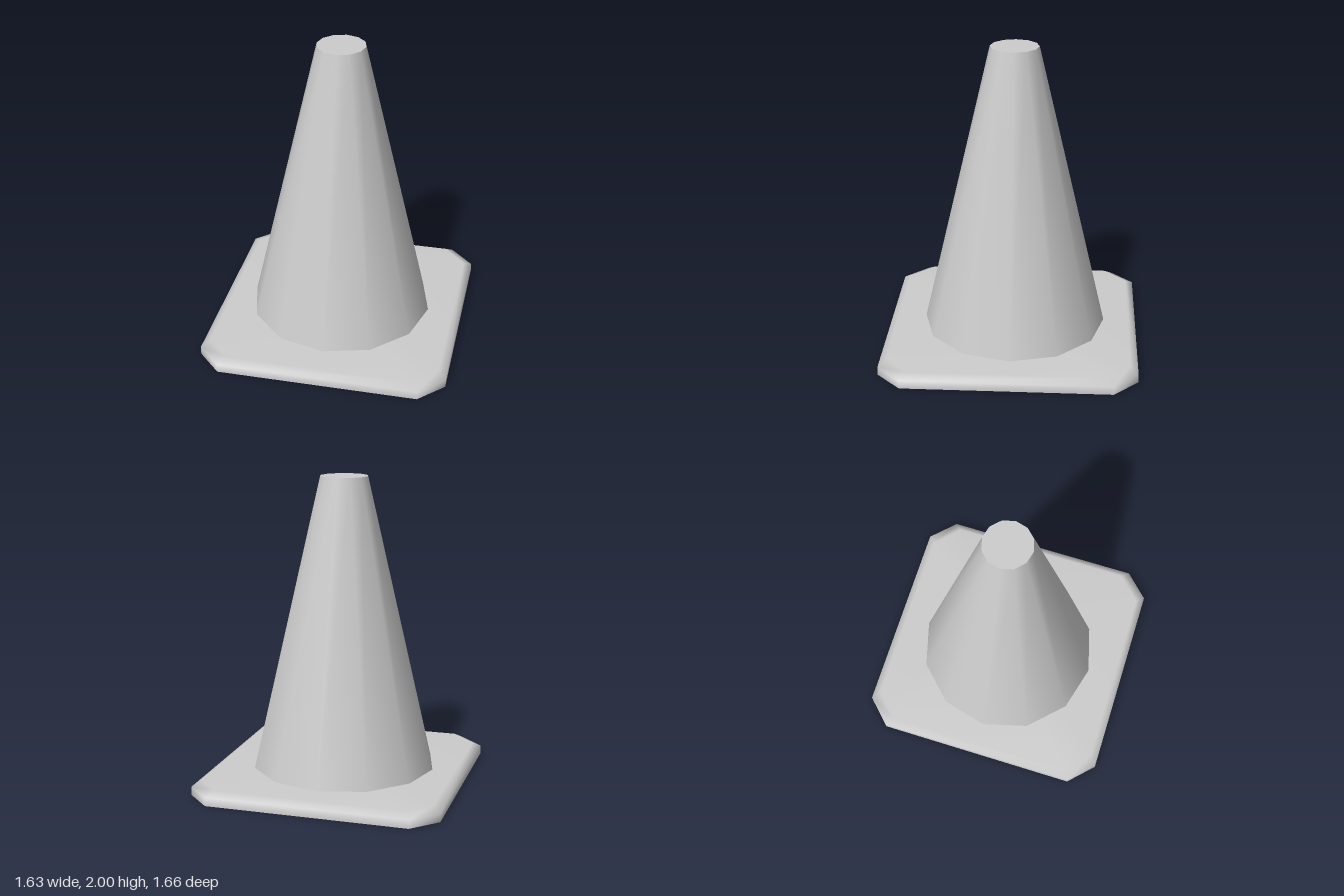
import * as THREE from 'three';

const HALF_X = 0.813, HALF_Z = 0.832, CUT = 0.158;

// Octagonal outline of the base, anticlockwise seen from above, pulled in by an inset
function outline(inset) {
  const x = HALF_X - inset, z = HALF_Z - inset;
  const quarter = [[x, z - CUT], [x, -z + CUT], [x - CUT, -z], [-x + CUT, -z]];
  return [...quarter, ...quarter.map(([a, b]) => [-a, -b])];
}

// Stacked outlines, smooth over the bevelled rim, with a separate flat underside
function baseGeometry() {
  const positions = [], indices = [];
  const addRing = (inset, y) => {
    const start = positions.length / 3;
    outline(inset).forEach(([x, z]) => positions.push(x, y, z));
    return start;
  };
  const rings = [addRing(0, 0), addRing(0, 0.055), addRing(0.05, 0.09)];
  const under = addRing(0, 0);
  const topCentre = positions.length / 3;
  positions.push(0, 0.09, 0, 0, 0, 0);
  for (let i = 0; i < 8; i++) {
    const j = (i + 1) % 8;
    for (let r = 0; r < 2; r++) {
      const a = rings[r], b = rings[r + 1];
      indices.push(a + i, a + j, b + j, a + i, b + j, b + i);
    }
    indices.push(topCentre, rings[2] + i, rings[2] + j);
    indices.push(topCentre + 1, under + j, under + i);
  }
  const geometry = new THREE.BufferGeometry();
  geometry.setAttribute('position', new THREE.Float32BufferAttribute(positions, 3));
  geometry.setIndex(indices);
  geometry.computeVertexNormals();
  return geometry;
}

export function createModel() {
  const grey = new THREE.MeshStandardMaterial({ color: 0xcccccc });
  grey.name = 'light grey';
  const group = new THREE.Group();
  group.name = 'trafficCone';

  // Bevelled base plate
  const base = new THREE.Mesh(baseGeometry(), grey);
  base.name = 'base';

  // Tapered twelve-sided body with a flat closed top
  const body = new THREE.Mesh(new THREE.CylinderGeometry(0.157, 0.605, 1.91, 12), grey);
  body.name = 'coneBody';
  body.position.set(-0.01, 0.09 + 1.91 / 2, -0.01);

  group.add(base, body);
  return group;
}
